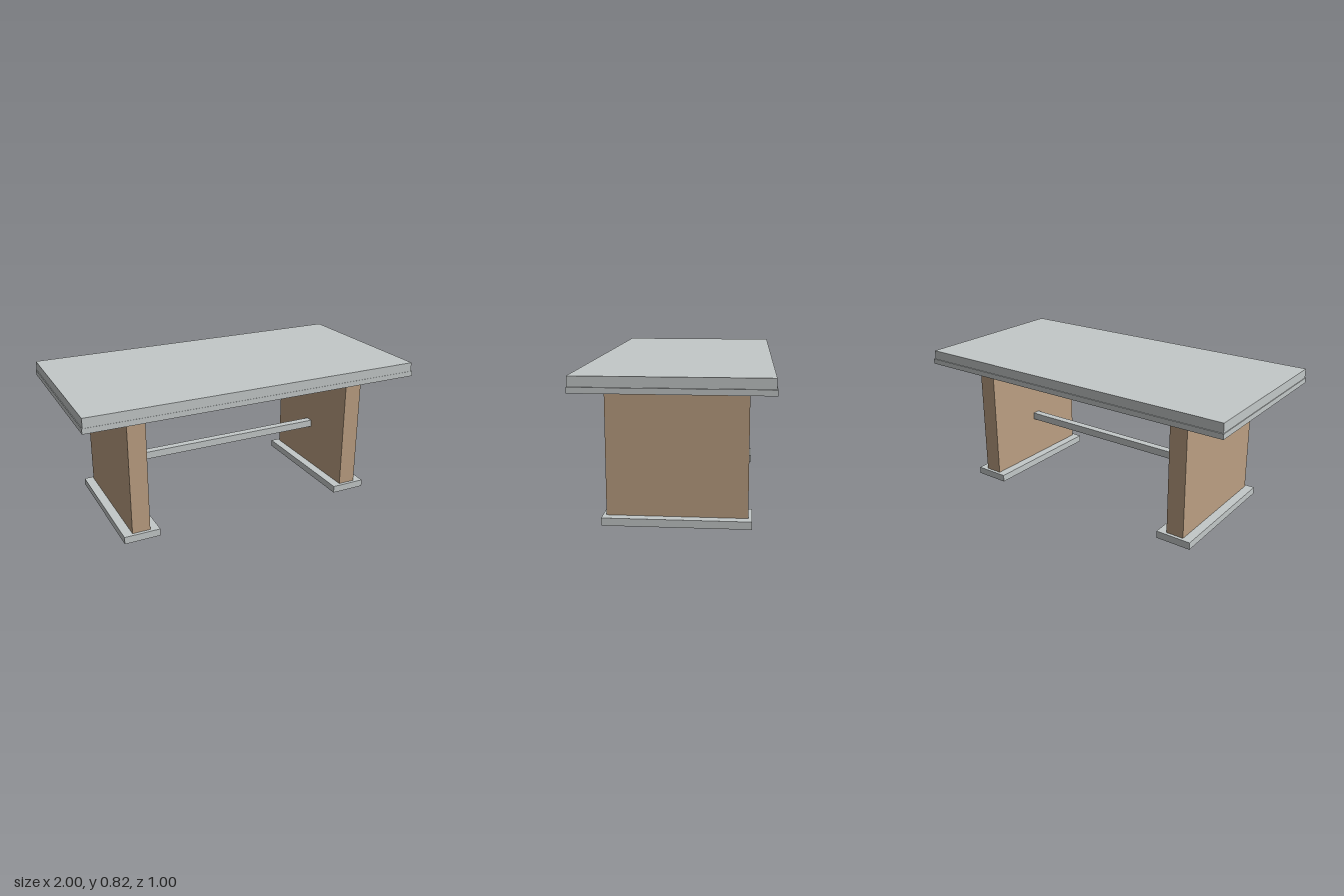
import * as THREE from 'three';

export function createModel() {
  const model = new THREE.Group();
  model.name = 'table';

  const grey = new THREE.MeshStandardMaterial({ color: 0xc3c8c8 });
  grey.name = 'pale grey';
  const wood = new THREE.MeshStandardMaterial({ color: 0xbb9f82 });
  wood.name = 'tan wood';

  // Box placed by its centre in x and z and by its bottom and top in y
  function slab(name, material, width, depth, bottom, top, x = 0, z = 0) {
    const mesh = new THREE.Mesh(new THREE.BoxGeometry(width, top - bottom, depth), material);
    mesh.name = name;
    mesh.position.set(x, (bottom + top) / 2, z);
    model.add(mesh);
  }

  // Two-layer table top, the upper layer slightly smaller
  slab('topUnderlayer', grey, 2, 1, 0.735, 0.765);
  slab('tableTop', grey, 1.986, 0.993, 0.765, 0.818, -0.003, 0.002);

  // Panel legs, each on a wider foot
  const centre = -0.004;
  for (const [side, sign] of [['left', 1], ['right', -1]]) {
    const x = centre + sign * 0.68;
    slab(side + 'Foot', grey, 0.209, 0.784, 0, 0.042, x);
    slab(side + 'Leg', wood, 0.104, 0.746, 0.042, 0.735, x);
  }

  // Stretcher rail between the legs
  slab('stretcher', grey, 1.256, 0.046, 0.297, 0.34, centre, -0.003);

  return model;
}
